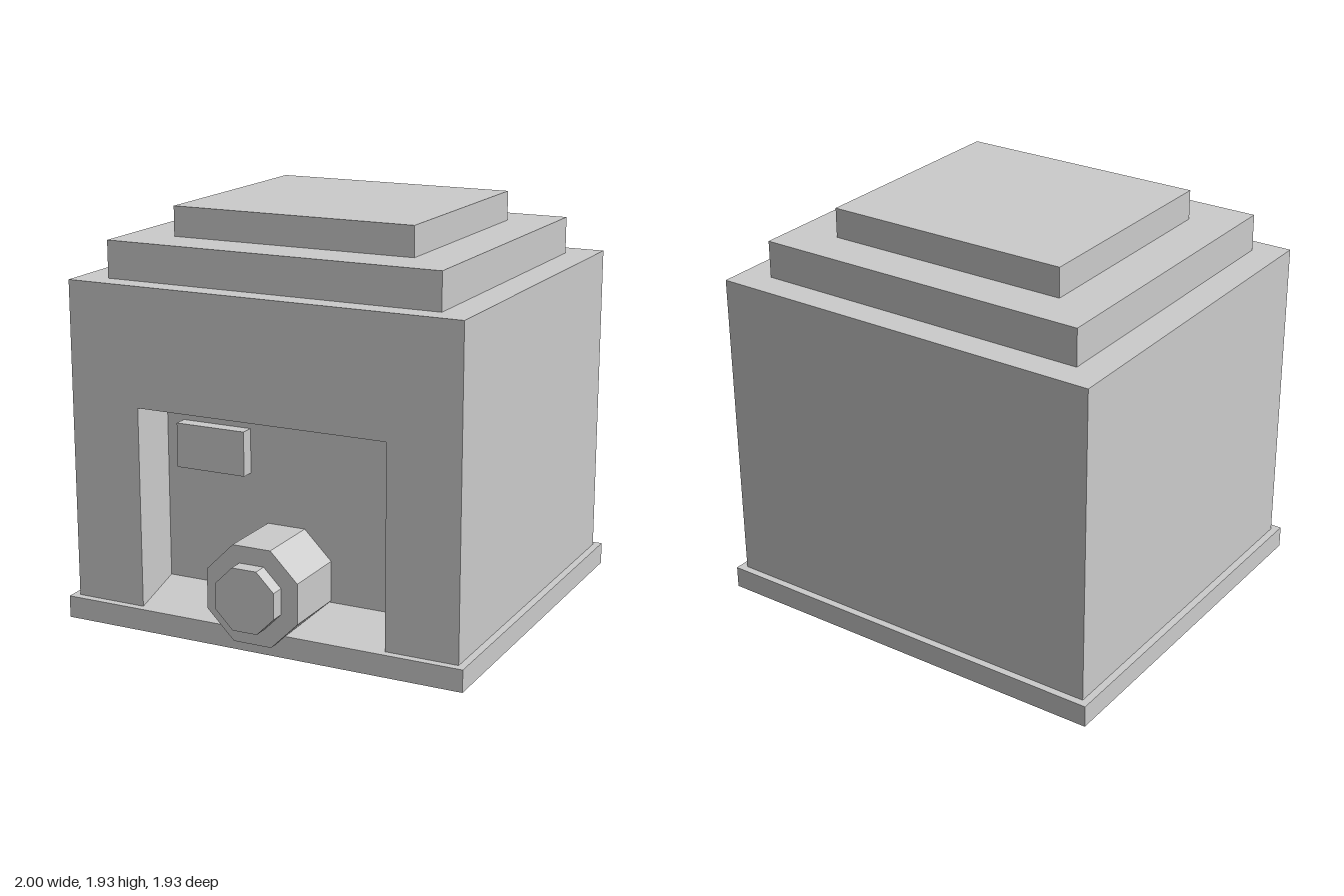
import * as THREE from 'three';

export function createModel() {
  const model = new THREE.Group();
  const grey = new THREE.MeshStandardMaterial({ color: 0xcccccc });
  grey.name = 'light grey';

  function add(name, geometry) {
    const mesh = new THREE.Mesh(geometry, grey);
    mesh.name = name;
    model.add(mesh);
    return mesh;
  }

  // Box given by its extents
  function block(name, x0, x1, y0, y1, z0, z1) {
    add(name, new THREE.BoxGeometry(x1 - x0, y1 - y0, z1 - z0))
      .position.set((x0 + x1) / 2, (y0 + y1) / 2, (z0 + z1) / 2);
  }

  const front = 0.82, recess = 0.565, floor = 0.105, open = 0.617;

  // Plinth, main body and stepped roof
  block('plinth', -1, 1, 0, floor, -0.965, 0.857);
  block('body', -0.965, 0.965, floor, 1.615, -0.93, recess);
  block('lowerRoofStep', -0.82, 0.82, 1.615, 1.79, -0.79, 0.717);
  block('upperRoofStep', -0.597, 0.597, 1.79, 1.93, -0.582, 0.503);

  // Front wall with a doorway open to the plinth
  const wall = new THREE.Shape([
    [-0.965, floor], [-open, floor], [-open, 1.055], [open, 1.055],
    [open, floor], [0.965, floor], [0.965, 1.615], [-0.965, 1.615],
  ].map(([x, y]) => new THREE.Vector2(x, y)));
  add('frontWall', new THREE.ExtrudeGeometry(wall, { depth: front - recess, bevelEnabled: false }))
    .position.z = recess;

  // Sloping floor of the recess, a wedge run across the doorway
  const wedge = new THREE.Shape([
    new THREE.Vector2(-front, floor),
    new THREE.Vector2(-recess, floor),
    new THREE.Vector2(-recess, 0.18),
  ]);
  const ramp = add('recessFloor', new THREE.ExtrudeGeometry(wedge, { depth: open * 2, bevelEnabled: false }));
  ramp.rotation.y = Math.PI / 2;
  ramp.position.x = -open;

  // Small panel on the recess wall
  block('panel', -0.53, -0.18, 0.74, 0.95, recess, 0.63);

  // Octagonal spout with a narrower nozzle, flat side up
  function octagon(name, halfWidth, z0, z1) {
    const r = halfWidth / Math.cos(Math.PI / 8);
    const geometry = new THREE.CylinderGeometry(r, r, z1 - z0, 8, 1).toNonIndexed();
    geometry.rotateY(Math.PI / 8).rotateX(Math.PI / 2);
    geometry.computeVertexNormals();
    add(name, geometry).position.set(0, 0.283, (z0 + z1) / 2);
  }
  octagon('spout', 0.228, recess, 0.895);
  octagon('nozzle', 0.147, 0.895, 0.965);

  return model;
}
